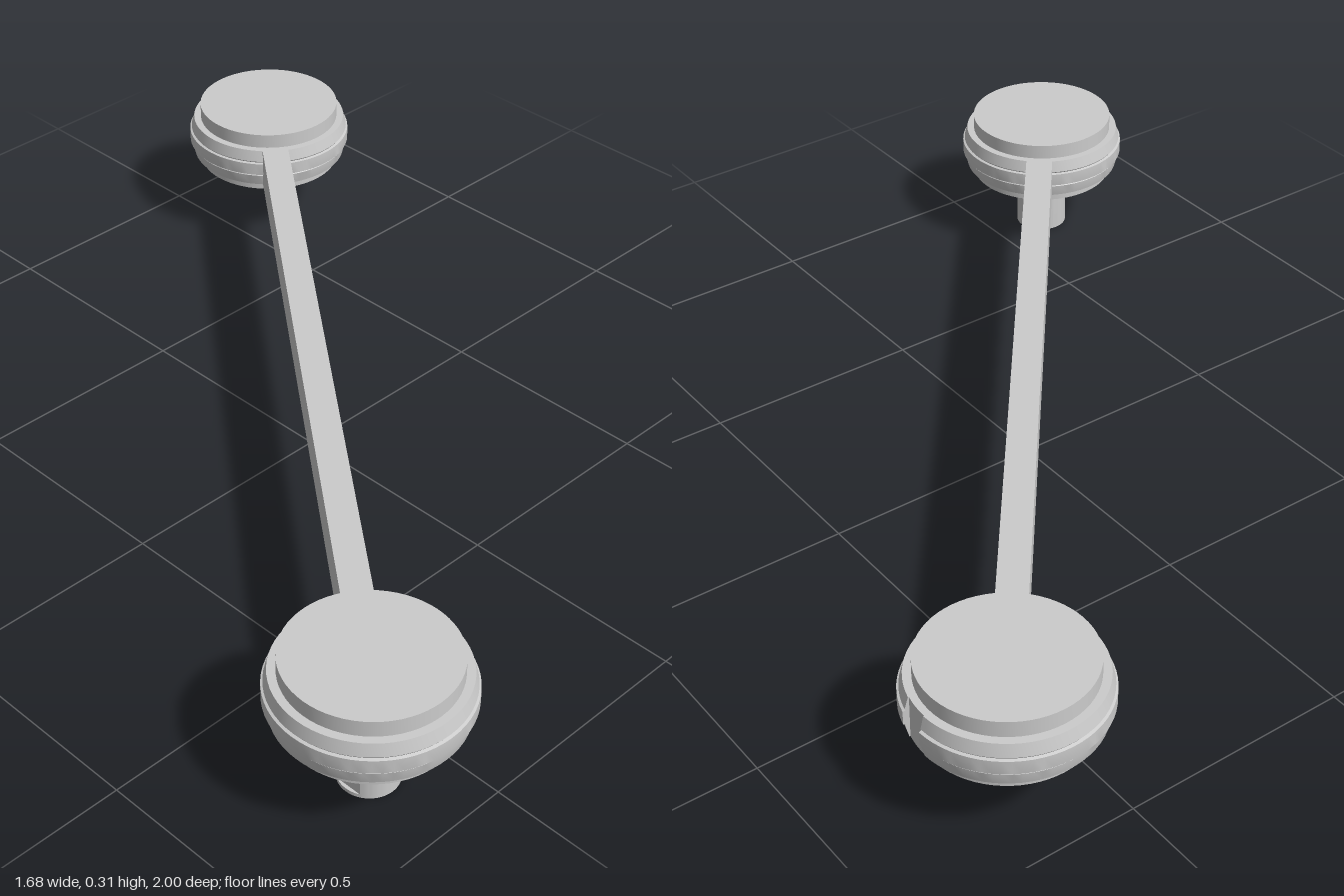
import * as THREE from 'three';
import { toCreasedNormals } from 'three/addons/utils/BufferGeometryUtils.js';

const material = new THREE.MeshStandardMaterial({ color: 0xcccccc, side: THREE.DoubleSide });

function addMesh(parent, name, geometry) {
  const mesh = new THREE.Mesh(toCreasedNormals(geometry, 0.4), material);
  mesh.name = name;
  parent.add(mesh);
  return mesh;
}

const vectors = (pairs) => pairs.map(([r, y]) => new THREE.Vector2(r, y));

// Collar section: a raised band between two bevelled shoulders
const collarProfile = vectors([
  [0.16, 0.175], [0.189, 0.175], [0.196, 0.203], [0.194, 0.205], [0.2, 0.208],
  [0.2, 0.238], [0.194, 0.24], [0.196, 0.243], [0.189, 0.27], [0.16, 0.27],
]);

// Round head: solid drum plus a collar, optionally split by a slot on the +x side
function createHub(name, x, z, slot) {
  const hub = new THREE.Group();
  hub.name = name;
  hub.position.set(x, 0, z);
  addMesh(hub, 'drum', new THREE.LatheGeometry(
    vectors([[0, 0.152], [0.172, 0.152], [0.172, 0.305], [0, 0.305]]), 64));
  const start = Math.PI / 2 - 0.1 + slot / 2;
  const length = Math.PI * 2 - slot;
  addMesh(hub, 'collar', new THREE.LatheGeometry(collarProfile, 64, start, length));
  if (slot > 0) {
    // Slot floor and the two end faces of the collar
    addMesh(hub, 'slotFloor', new THREE.CylinderGeometry(0.187, 0.187, 0.095, 6, 1, false, start - slot, slot))
      .position.y = 0.2225;
    for (const angle of [start, start + length]) {
      const face = addMesh(hub, 'collarEnd', new THREE.ShapeGeometry(new THREE.Shape(collarProfile)));
      face.rotation.y = angle - Math.PI / 2;
    }
  }
  return hub;
}

export function createModel() {
  const model = new THREE.Group();
  const x = 0.638, z = 0.8;

  // Heads at both ends
  const pinHub = createHub('pinHub', -x, z, 0);
  model.add(pinHub, createHub('plainHub', x, -z, 0.3));

  // Flat connecting arm
  const arm = addMesh(model, 'arm', new THREE.BoxGeometry(2 * Math.hypot(x, z) - 0.34, 0.095, 0.064));
  arm.position.y = 0.2225;
  arm.rotation.y = Math.atan2(z, x);

  // Pin under one head, with a shallow flat on its outer side
  const pinRadius = 0.062;
  const addPinPart = (name, bottom, height, halfFlat) => {
    const section = new THREE.Shape();
    section.absarc(0, 0, pinRadius, Math.PI + halfFlat, 3 * Math.PI - halfFlat, false);
    const geometry = new THREE.ExtrudeGeometry(section, { depth: height, bevelEnabled: false, curveSegments: 32 });
    geometry.rotateX(-Math.PI / 2);
    addMesh(pinHub, name, geometry).position.y = bottom;
  };
  addPinPart('pinTip', 0, 0.008, 0);
  addPinPart('pinFlat', 0.008, 0.097, 0.5);
  addPinPart('pinNeck', 0.105, 0.05, 0);

  return model;
}
